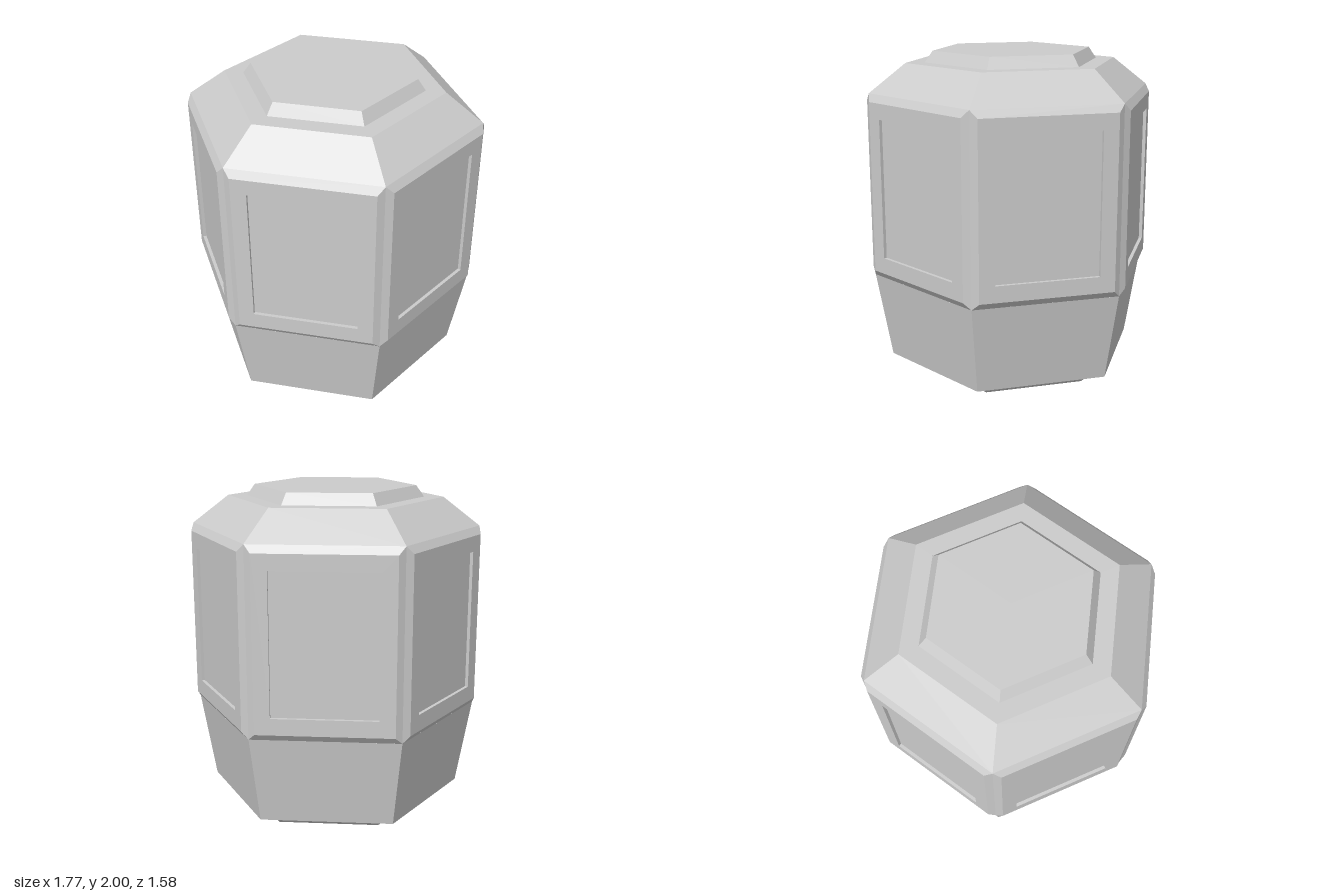
import * as THREE from 'three';

const material = new THREE.MeshStandardMaterial({ color: 0xcccccc, flatShading: true });

function addMesh(parent, name, geometry) {
  const mesh = new THREE.Mesh(geometry, material);
  mesh.name = name;
  parent.add(mesh);
  return mesh;
}

// Six-sided turned solid from [corner radius, y] pairs, bottom to top, corners on the x axis
function hexSolid(profile) {
  const points = profile.map(([r, y]) => new THREE.Vector2(r, y));
  const geometry = new THREE.LatheGeometry(points, 6, Math.PI / 6).toNonIndexed();
  geometry.computeVertexNormals();
  return geometry;
}

// Skin through nested rectangles [half width, bottom, top, depth], outermost first, facing +z
function steppedPanel(rings) {
  const corners = rings.map(([w, b, t, z]) => [[-w, b, z], [w, b, z], [w, t, z], [-w, t, z]]);
  const positions = [];
  for (let i = 0; i + 1 < rings.length; i++) {
    for (let k = 0; k < 4; k++) {
      const n = (k + 1) % 4;
      const [a, b, c, d] = [corners[i][k], corners[i][n], corners[i + 1][n], corners[i + 1][k]];
      positions.push(...a, ...b, ...c, ...a, ...c, ...d);
    }
  }
  const geometry = new THREE.BufferGeometry();
  geometry.setAttribute('position', new THREE.Float32BufferAttribute(positions, 3));
  geometry.computeVertexNormals();
  return geometry;
}

export function createModel() {
  const model = new THREE.Group();
  model.name = 'hexagonalLantern';

  // Foot and flared lower body
  addMesh(model, 'foot', hexSolid([[0, 0], [0.605, 0], [0.69, 0.09]]));
  addMesh(model, 'lowerBody', hexSolid([[0.69, 0.09], [0.787, 0.09], [0.88, 0.63]]));

  // Six bevelled frames, each around a shallow recessed pane
  const frameGeometry = steppedPanel([
    [0.44, 0.63, 1.76, 0.762],
    [0.402, 0.67, 1.715, 0.791],
    [0.31, 0.77, 1.62, 0.791],
    [0.31, 0.77, 1.62, 0.771],
  ]);
  const paneGeometry = new THREE.PlaneGeometry(0.62, 0.85).translate(0, 1.195, 0.771);
  for (let i = 0; i < 6; i++) {
    const side = new THREE.Group();
    side.name = `side${i + 1}`;
    side.rotation.y = (i * Math.PI) / 3;
    addMesh(side, 'windowFrame', frameGeometry);
    addMesh(side, 'windowPane', paneGeometry);
    model.add(side);
  }

  // Sloping roof and raised cap
  addMesh(model, 'roof', hexSolid([[0.88, 1.76], [0.657, 1.932], [0.54, 1.932]]));
  addMesh(model, 'cap', hexSolid([[0.54, 1.932], [0.492, 2], [0, 2]]));

  return model;
}
